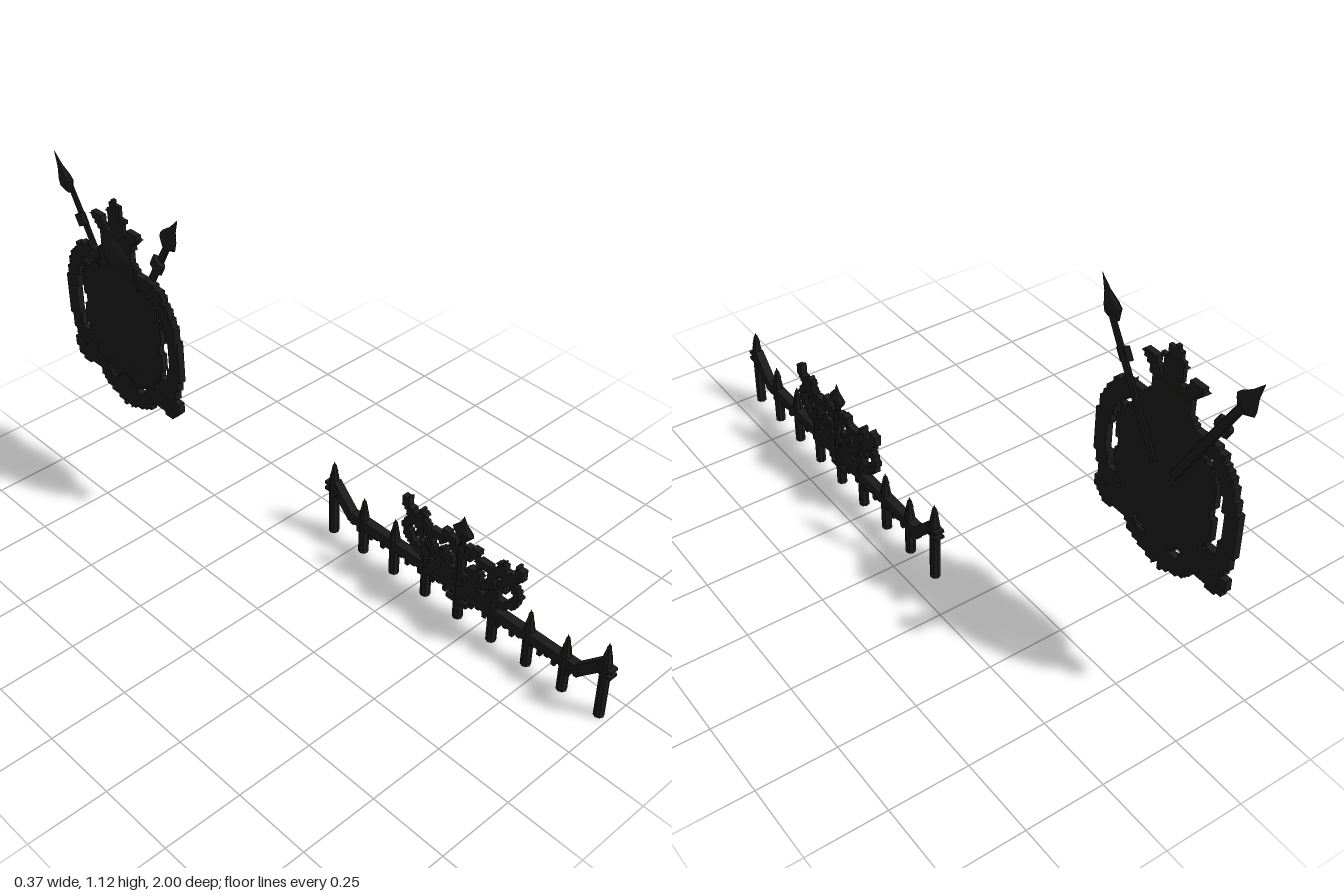
import * as THREE from 'three';

function material(name, color) {
  const m = new THREE.MeshStandardMaterial({ color, side: THREE.DoubleSide });
  m.name = name;
  return m;
}
const iron = material('blackIron', 0x1b1b1b);
const bronze = material('darkBronze', 0x2b2516);

const FENCE_X = 0.168, FENCE_Z = 0.432, CREST_Z = -0.705;

function add(group, name, geometry, x = 0, y = 0, z = 0, mat = iron) {
  const mesh = new THREE.Mesh(geometry, mat);
  mesh.name = name;
  mesh.position.set(x, y, z);
  group.add(mesh);
  return mesh;
}

// Turn an outline into a stair-stepped one on a square grid
function stepped(points, grid) {
  const out = [];
  const push = (x, y) => {
    const last = out[out.length - 1];
    if (last && last.x === x && last.y === y) return;
    if (last && last.x !== x && last.y !== y) out.push(new THREE.Vector2(x, last.y));
    out.push(new THREE.Vector2(x, y));
  };
  points.forEach((a, i) => {
    const b = points[(i + 1) % points.length];
    const n = Math.max(1, Math.ceil(a.distanceTo(b) / (grid * 0.5)));
    for (let k = 0; k < n; k++) {
      const p = a.clone().lerp(b, k / n);
      push(Math.round(p.x / grid) * grid, Math.round(p.y / grid) * grid);
    }
  });
  return out;
}

// Extrude an outline drawn in (z, y) so that its thickness runs towards -x
function plate(points, depth, grid) {
  const shape = new THREE.Shape(stepped(points, grid));
  return new THREE.ExtrudeGeometry(shape, { depth, bevelEnabled: false }).rotateY(-Math.PI / 2);
}

// Symmetric plate from half an outline, running bottom to top
function mirrored(half, depth, grid) {
  const right = half.map(([u, y]) => new THREE.Vector2(u, y));
  const left = half.map(([u, y]) => new THREE.Vector2(-u, y)).reverse();
  return plate([...right, ...left], depth, grid);
}

// Curved strip of even width along a path
function band(path, width, depth, grid, side) {
  const curve = new THREE.SplineCurve(path.map(([u, y]) => new THREE.Vector2(u * side, y)));
  const n = 32, a = [], b = [];
  for (let i = 0; i <= n; i++) {
    const p = curve.getPoint(i / n), t = curve.getTangent(i / n);
    const normal = new THREE.Vector2(-t.y, t.x).multiplyScalar(width / 2);
    a.push(p.clone().add(normal));
    b.unshift(p.clone().sub(normal));
  }
  return plate([...a, ...b], depth, grid);
}

// Faceted turned part, optionally flattened in x
function turned(profile, sides, flatten = 1) {
  const g = new THREE.LatheGeometry(profile.map(([r, y]) => new THREE.Vector2(r, y)), sides).toNonIndexed();
  g.scale(flatten, 1, 1).computeVertexNormals();
  return g;
}

function createFence() {
  const fence = new THREE.Group();
  fence.name = 'fence';

  // Pointed posts
  for (let i = 0; i < 9; i++) {
    const end = i === 0 || i === 8, centre = i === 4;
    const z = FENCE_Z + (i - 4) * 0.134;
    const h = end ? 0.2 : centre ? 0.27 : 0.135;
    const tip = centre
      ? [[0.017, h], [0.009, 0.292]]
      : [[0.0175, h], [0.013, h + 0.03], [0, h + 0.08]];
    add(fence, 'post', turned([[0, 0], [0.0165, 0], [0.0165, h], ...tip], 8), FENCE_X, 0, z);
    if (end) {
      for (const y of [0.168, 0.19]) {
        add(fence, 'endCollar', new THREE.BoxGeometry(0.03, 0.01, 0.056), FENCE_X, y, z);
      }
    }
    // Bronze slivers on the faces of each tip
    if (!centre) {
      for (const s of [-1, 1]) {
        const sliver = add(fence, 'tipAccent', new THREE.BoxGeometry(0.003, 0.032, 0.007),
          FENCE_X + s * 0.0075, h + 0.051, z, bronze);
        sliver.rotation.z = s * 0.25;
      }
    }
  }

  // Centre finial and crossbars
  add(fence, 'centreFinial', turned(
    [[0.009, 0.288], [0.013, 0.3], [0.041, 0.333], [0.013, 0.363], [0, 0.39]], 8, 0.4), FENCE_X, 0, FENCE_Z);
  for (const [y, w] of [[0.07, 0.08], [0.18, 0.07], [0.258, 0.085]]) {
    add(fence, 'centreCrossbar', new THREE.BoxGeometry(0.026, 0.018, w), FENCE_X, y, FENCE_Z);
  }

  // Rail, sloping ends and the toothed fringe below
  add(fence, 'rail', new THREE.BoxGeometry(0.03, 0.034, 0.92), FENCE_X, 0.116, FENCE_Z);
  for (const s of [-1, 1]) {
    const brace = add(fence, 'slopingRail', new THREE.BoxGeometry(0.028, 0.034, 0.125),
      FENCE_X, 0.155, FENCE_Z + s * 0.49);
    brace.rotation.x = -s * 0.8;
    add(fence, 'railAccent', new THREE.BoxGeometry(0.032, 0.006, 0.045),
      FENCE_X, 0.116, FENCE_Z + s * 0.085, bronze);
  }
  for (let i = 0; i < 35; i++) {
    const h = 0.016 + 0.014 * (i % 2);
    add(fence, 'fringeTooth', new THREE.BoxGeometry(0.018, h, 0.013),
      FENCE_X, 0.102 - h / 2, FENCE_Z + (i - 17) * 0.0262);
  }

  // Scrollwork on both sides of the centre post
  const scrolls = [
    [[0.02, 0.145], [0.10, 0.15], [0.17, 0.168], [0.205, 0.195], [0.217, 0.235], [0.19, 0.262], [0.16, 0.245], [0.165, 0.215]],
    [[0.222, 0.335], [0.212, 0.295], [0.185, 0.275], [0.145, 0.275], [0.12, 0.25]],
    [[0.15, 0.315], [0.165, 0.29], [0.2, 0.29], [0.226, 0.31]],
    [[0.02, 0.17], [0.075, 0.18], [0.115, 0.21], [0.12, 0.25], [0.09, 0.27], [0.065, 0.25]],
    [[0.03, 0.215], [0.06, 0.205], [0.075, 0.225]],
    [[0.115, 0.165], [0.14, 0.185], [0.145, 0.21]],
    [[0.02, 0.285], [0.05, 0.28], [0.06, 0.305]],
  ];
  for (const s of [-1, 1]) {
    for (const path of scrolls) {
      add(fence, 'scroll', band(path, 0.026, 0.022, 0.009, s), FENCE_X + 0.011, 0, FENCE_Z);
    }
  }
  return fence;
}

// Raised boss facing -x: a shallow faceted cone with a flattened peak
function boss(height, ry, rz, profile) {
  const points = profile.map(([r, y]) => new THREE.Vector2(r, y));
  return new THREE.LatheGeometry(points, 32).rotateZ(Math.PI / 2).scale(height, ry, rz);
}

function createCrest() {
  const crest = new THREE.Group();
  crest.name = 'wallCrest';
  const grid = 0.012, back = -0.142, depth = 0.019;

  // Shield plate with a raised face
  add(crest, 'shieldPlate', mirrored([
    [0, 0.435], [0.05, 0.435], [0.09, 0.455], [0.14, 0.47], [0.165, 0.53], [0.195, 0.58], [0.182, 0.65],
    [0.198, 0.72], [0.172, 0.78], [0.14, 0.80], [0.12, 0.835], [0.06, 0.85], [0, 0.85],
  ], depth, grid), back, 0, CREST_Z);
  add(crest, 'shieldBoss', boss(0.028, 0.175, 0.16, [[1, 0], [0.8, 0.4], [0.55, 0.75], [0.25, 0.98], [0, 1]]),
    -0.16, 0.65, CREST_Z);

  // Open scroll frame round the shield
  const frame = [
    [[0.09, 0.835], [0.16, 0.842], [0.21, 0.79], [0.24, 0.72], [0.253, 0.64], [0.243, 0.565], [0.222, 0.5]],
    [[0.243, 0.485], [0.222, 0.437], [0.18, 0.445], [0.13, 0.443], [0.09, 0.4], [0.045, 0.385], [0, 0.362]],
    [[0.24, 0.5], [0.2, 0.515], [0.175, 0.48], [0.14, 0.48]],
    [[0.04, 0.4], [0.015, 0.42], [0, 0.45]],
  ];
  for (const s of [-1, 1]) {
    for (const path of frame) {
      add(crest, 'frameScroll', band(path, 0.052, depth + 0.003, grid, s), back, 0, CREST_Z);
    }
  }

  // Crown with a thinner top ornament and a rounded cap
  add(crest, 'crown', mirrored([
    [0, 0.83], [0.1, 0.84], [0.1, 0.87], [0.07, 0.90], [0.075, 0.94], [0.115, 0.985], [0.105, 1.0],
    [0.06, 0.99], [0.05, 0.965], [0, 0.965],
  ], depth, grid), back, 0, CREST_Z);
  add(crest, 'crownOrnament', mirrored([
    [0, 0.95], [0.025, 0.95], [0.035, 0.985], [0.044, 1.02], [0.02, 1.03], [0.022, 1.05], [0, 1.065],
  ], 0.012, grid), back, 0, CREST_Z);
  add(crest, 'crownCap', boss(0.019, 0.055, 0.068, [[1, 0], [0.8, 0.4], [0.55, 0.75], [0.25, 0.98], [0, 1]]),
    -0.16, 0.885, CREST_Z);
  add(crest, 'crownAccent', new THREE.BoxGeometry(0.004, 0.007, 0.045), back, 0.935, CREST_Z, bronze);

  // Two spears fanning out across the back of the shield
  const tilt = Math.atan2(0.25, 0.435);
  for (const s of [-1, 1]) {
    const spear = new THREE.Group();
    spear.name = 'spear';
    spear.position.set(-0.1405, 0.68, CREST_Z + s * 0.04);
    spear.rotation.x = s * tilt;
    add(spear, 'spearShaft', turned([[0, 0], [0.015, 0], [0.015, 0.26], [0.013, 0.4], [0, 0.4]], 8, 0.45));
    add(spear, 'spearCollar', turned([[0, 0.268], [0.028, 0.27], [0.028, 0.308], [0, 0.31]], 8, 0.38), -0.006);
    add(spear, 'spearHead', turned(
      [[0, 0.375], [0.013, 0.376], [0.037, 0.405], [0.032, 0.425], [0.014, 0.46], [0, 0.51]], 8, 0.38), -0.008);
    crest.add(spear);
  }
  return crest;
}

export function createModel() {
  const model = new THREE.Group();
  model.name = 'fenceAndCrest';
  model.add(createFence(), createCrest());
  return model;
}
